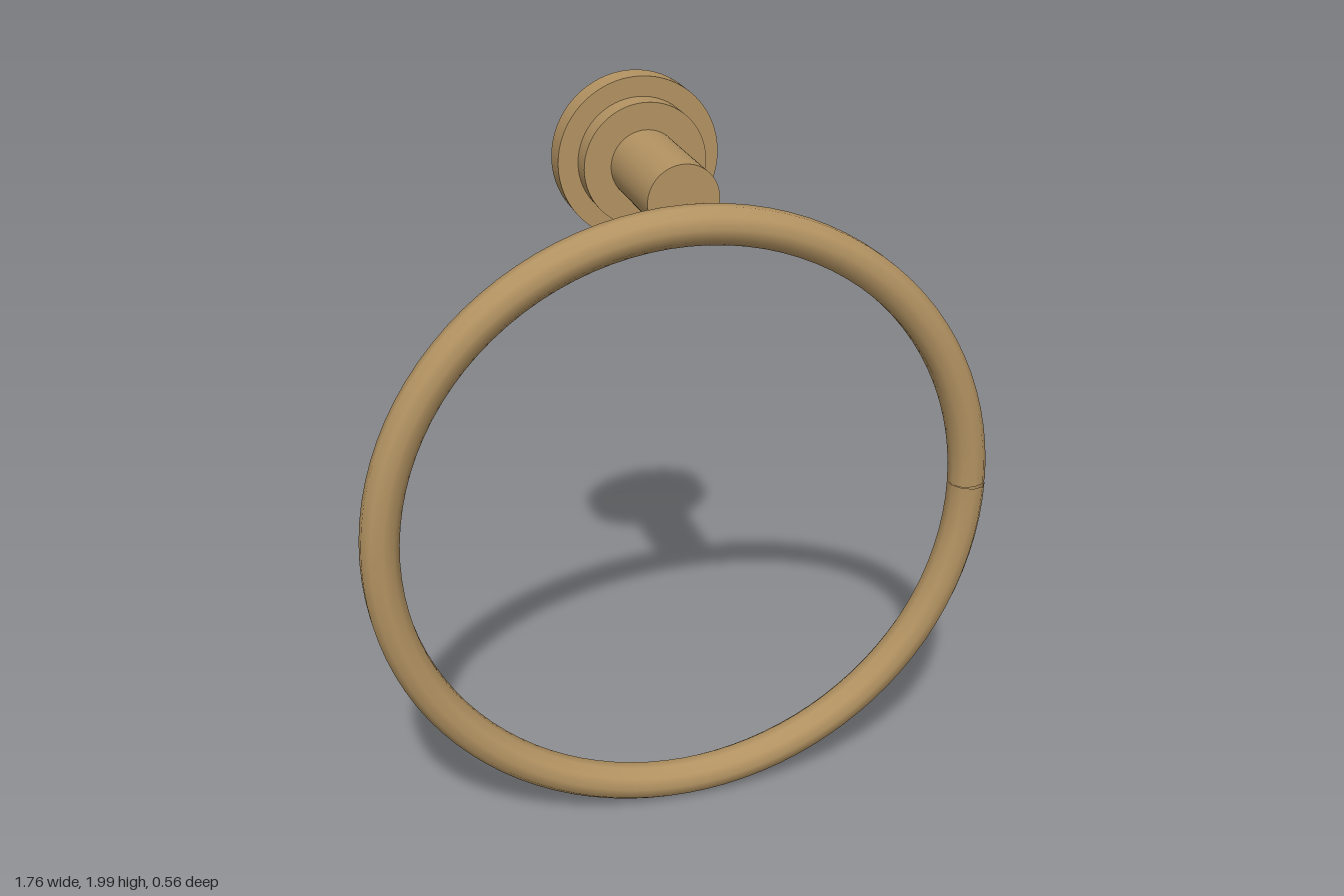
import * as THREE from 'three';

const brass = new THREE.MeshStandardMaterial({ color: 0xb39362 });
const brassOpen = new THREE.MeshStandardMaterial({ color: 0xb39362, side: THREE.DoubleSide });
const dark = new THREE.MeshStandardMaterial({ color: 0x333333 });

// Round part lying along z, between two depths
function disc(name, radius, y, zBack, zFront, material = brass, sides = 64) {
  const geometry = new THREE.CylinderGeometry(radius, radius, zFront - zBack, sides);
  geometry.rotateX(Math.PI / 2);
  const mesh = new THREE.Mesh(geometry, material);
  mesh.name = name;
  mesh.position.set(0, y, (zBack + zFront) / 2);
  return mesh;
}

// Ten-sided bar swept round a circle, with a fine V-shaped joint on the +x side
function ringGeometry(R, r, sides = 10, segments = 96) {
  const profile = [];
  for (let i = 0; i <= sides; i++) {
    const a = -Math.PI / 2 + (i / sides) * Math.PI * 2;
    profile.push(new THREE.Vector2(R + r * Math.cos(a), r * Math.sin(a)));
  }
  const geometry = new THREE.LatheGeometry(profile, segments, Math.PI / 2);
  const pos = geometry.attributes.position;
  for (let j = 0; j <= sides; j++) {
    const open = 0.006 * (profile[j].x - R + r) / (2 * r);
    const last = segments * (sides + 1) + j;
    pos.setZ(j, pos.getZ(j) - open);
    pos.setZ(last, pos.getZ(last) + open);
  }
  return geometry.rotateX(Math.PI / 2);
}

export function createModel() {
  const group = new THREE.Group();
  group.name = 'towelRing';
  const mountY = 1.775;

  // Wall mount
  group.add(disc('wallPlate', 0.225, mountY, -0.28, -0.205));
  group.add(disc('steppedCollar', 0.17, mountY, -0.205, -0.14));
  group.add(disc('post', 0.096, mountY, -0.14, 0.197));
  group.add(disc('setScrew', 0.016, 1.666, -0.14, -0.118, dark, 16));

  // Hanging ring
  const ring = new THREE.Mesh(ringGeometry(0.83, 0.053), brassOpen);
  ring.name = 'ring';
  ring.position.set(0, 0.89, 0.226);
  group.add(ring);

  return group;
}
